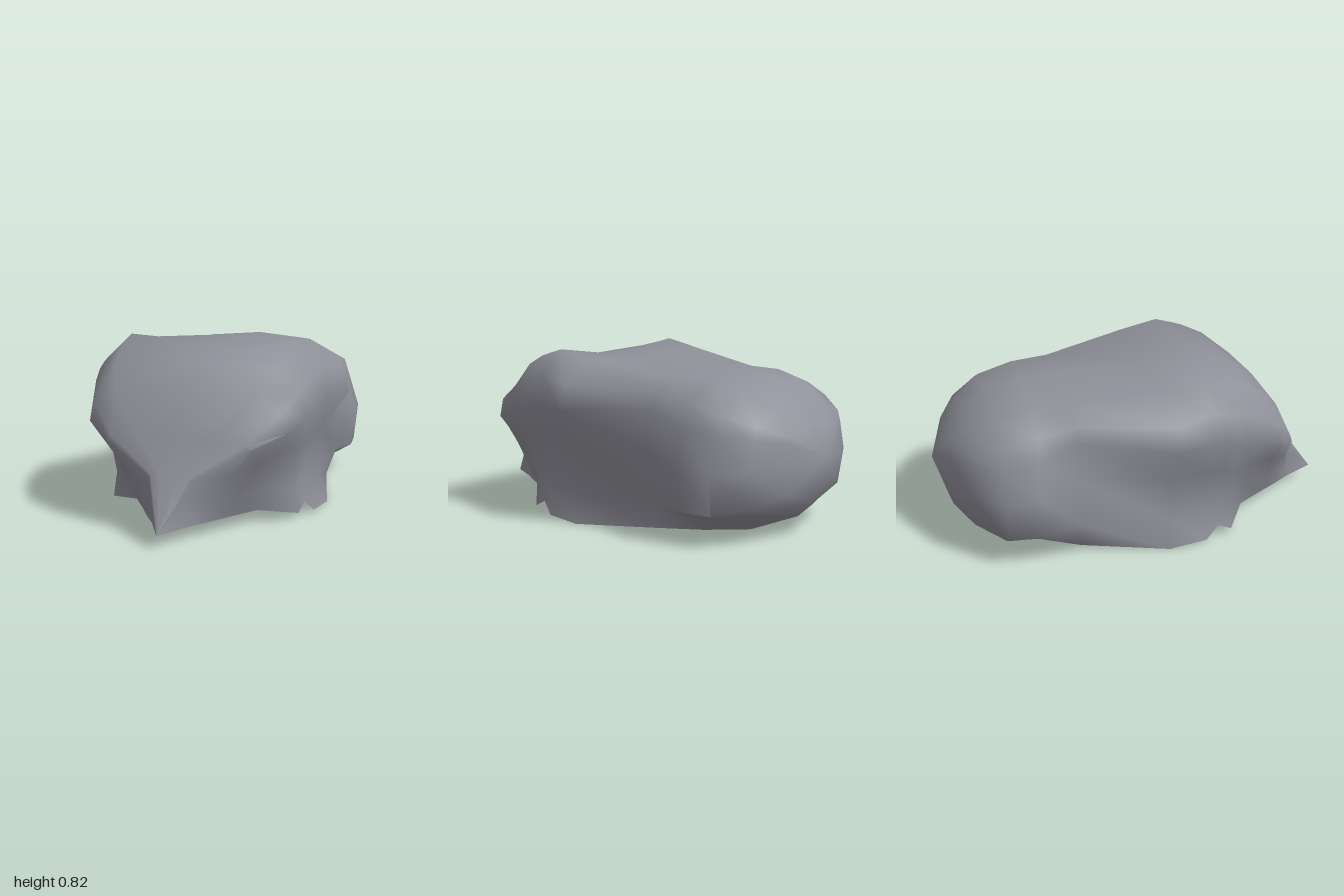
import * as THREE from 'three';
import { toCreasedNormals } from 'three/addons/utils/BufferGeometryUtils.js';

// Cross-sections from front to back:
// z, bottom y, rim x, lower x, waist x, shoulder x, shoulder y, crown x, crown y, centre y
const SECTIONS = [
  [1.0, 0.06, 0, 0, 0, 0, 0.06, 0, 0.06, 0.06],
  [0.83, 0.06, 0.09, 0.09, 0.09, 0.1, 0.27, 0.05, 0.29, 0.29],
  [0.74, 0.06, 0.15, 0.18, 0.26, 0.34, 0.4, 0.2, 0.44, 0.44],
  [0.64, 0.06, 0.21, 0.26, 0.35, 0.47, 0.46, 0.34, 0.62, 0.64],
  [0.5, 0.06, 0.3, 0.35, 0.43, 0.52, 0.5, 0.39, 0.73, 0.735],
  [0.39, 0.03, 0.47, 0.45, 0.49, 0.55, 0.53, 0.41, 0.78, 0.765],
  [0.32, 0.065, 0.48, 0.46, 0.5, 0.56, 0.55, 0.42, 0.8, 0.765],
  [0.25, 0.01, 0.51, 0.47, 0.5, 0.57, 0.56, 0.42, 0.82, 0.765],
  [0.06, 0, 0.53, 0.49, 0.5, 0.63, 0.56, 0.42, 0.78, 0.765],
  [-0.36, 0.03, 0.43, 0.48, 0.47, 0.44, 0.58, 0.32, 0.72, 0.76],
  [-0.55, 0.03, 0.32, 0.52, 0.54, 0.48, 0.52, 0.28, 0.72, 0.745],
  [-0.72, 0.035, 0.19, 0.5, 0.52, 0.47, 0.5, 0.28, 0.67, 0.71],
  [-0.85, 0.08, 0, 0.36, 0.41, 0.37, 0.48, 0.2, 0.59, 0.62],
  [-0.93, 0.15, 0, 0.22, 0.25, 0.22, 0.46, 0.12, 0.51, 0.525],
  [-1.0, 0.38, 0, 0, 0, 0, 0.38, 0, 0.38, 0.38],
];

// Mirrored arch running from the left rim over the top to the right rim
function arch([z, bottom, rimX, lowX, waistX, shX, shY, topX, topY, midY]) {
  const height = shY - bottom;
  const side = [
    [rimX, bottom],
    [lowX, bottom + 0.25 * height],
    [waistX, bottom + 0.66 * height],
    [shX, shY],
    [shX * 0.84 + topX * 0.16, shY * 0.46 + topY * 0.54],
    [topX, topY],
  ];
  const mirrored = side.map(([x, y]) => [-x, y]).reverse();
  return [...side, [0, midY], ...mirrored].map(([x, y]) => [x, y, z]);
}

// Skin stretched over the arches, left open underneath
function loft(arches) {
  const n = arches[0].length;
  const index = [];
  for (let i = 0; i < arches.length - 1; i++) {
    for (let j = 0; j < n - 1; j++) {
      const a = i * n + j, b = a + 1;
      index.push(a, a + n, b, b, a + n, b + n);
    }
  }
  const geometry = new THREE.BufferGeometry();
  geometry.setAttribute('position', new THREE.Float32BufferAttribute(arches.flat(2), 3));
  geometry.setIndex(index);
  return toCreasedNormals(geometry, 1.1);
}

export function createModel() {
  const stone = new THREE.MeshStandardMaterial({ color: 0x90909a, side: THREE.DoubleSide });
  stone.name = 'grey stone';

  // Hollow boulder with a pointed foot in front, overhanging shoulders and a rounded back
  const boulder = new THREE.Mesh(loft(SECTIONS.map(arch)), stone);
  boulder.name = 'boulder';

  const group = new THREE.Group();
  group.name = 'rock';
  group.add(boulder);
  return group;
}
